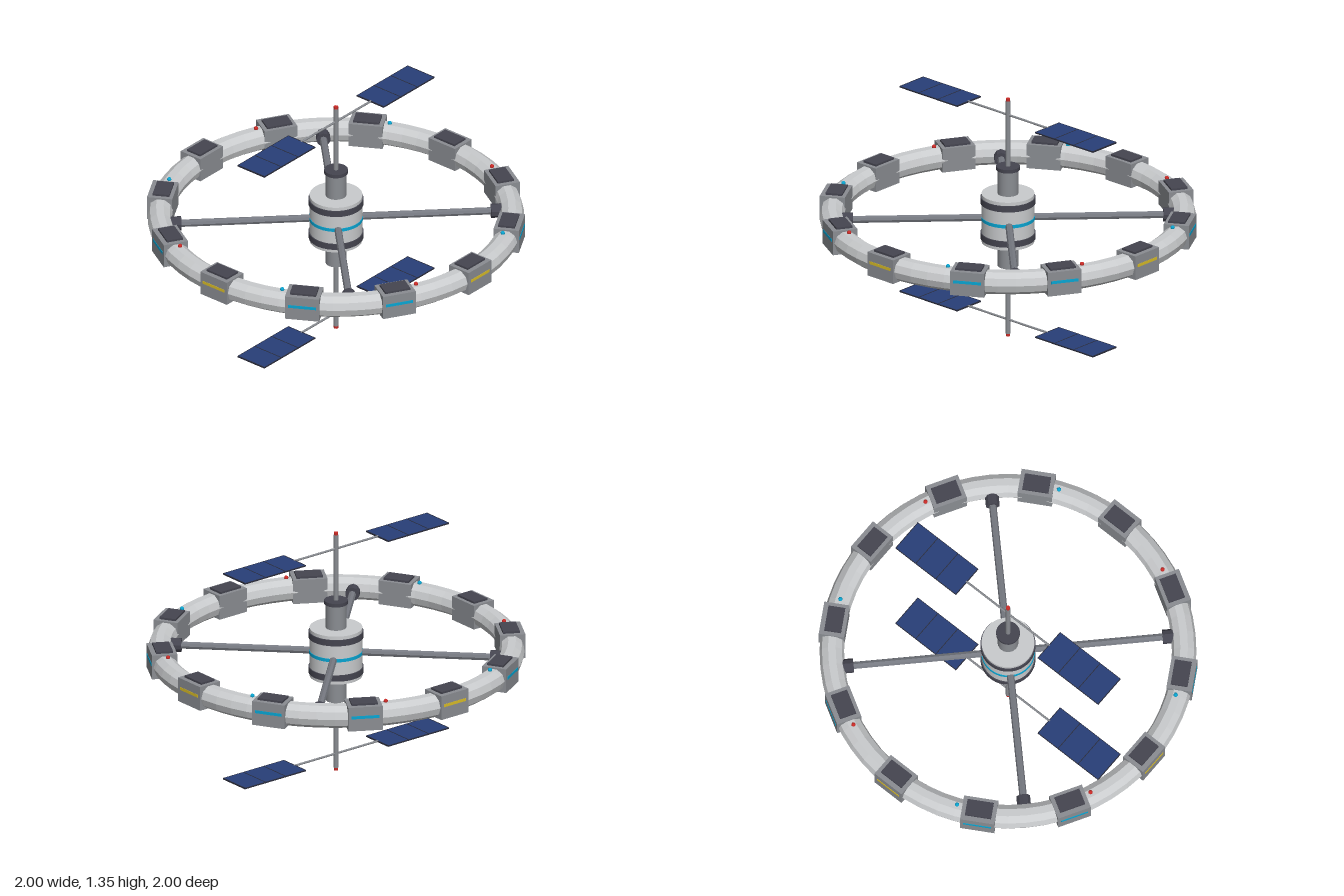
import * as THREE from 'three';

const MID = 0.674; // height of the ring plane
const RING = 0.93; // ring centre-line radius

const mat = (name, color) => {
  const m = new THREE.MeshStandardMaterial({ color });
  m.name = name;
  return m;
};

export function createModel() {
  const hull = mat('light hull', 0xc9cbcd);
  const metal = mat('mid grey metal', 0x8a8d92);
  const strut = mat('strut grey', 0x777a82);
  const dark = mat('dark grey', 0x454550);
  const solar = mat('solar blue', 0x283f78);
  const cell = mat('panel frame', 0x2a2c3c);
  const cyan = mat('cyan', 0x08a5d2);
  const yellow = mat('yellow', 0xd8bc28);
  const red = mat('red', 0xcc2a26);

  const root = new THREE.Group();
  root.name = 'spaceStation';

  const add = (parent, name, geo, material, x = 0, y = 0, z = 0) => {
    const mesh = new THREE.Mesh(geo, material);
    mesh.name = name;
    mesh.position.set(x, y, z);
    parent.add(mesh);
    return mesh;
  };
  const flat = (geo) => {
    const g = geo.toNonIndexed();
    g.computeVertexNormals();
    return g;
  };
  const box = (w, h, d) => new THREE.BoxGeometry(w, h, d);
  const cyl = (r, h, n = 32) => new THREE.CylinderGeometry(r, r, h, n);
  // Group turned about the vertical axis so its +z points outwards
  const spun = (name, angle) => {
    const g = new THREE.Group();
    g.name = name;
    g.position.y = MID;
    g.rotation.y = angle;
    root.add(g);
    return g;
  };

  // Habitat ring
  const ring = add(root, 'habitatRing', flat(new THREE.TorusGeometry(RING, 0.065, 10, 64)), hull, 0, MID, 0);
  ring.rotation.x = Math.PI / 2;

  // Twelve modules with roof plates and window strips
  for (let i = 0; i < 12; i++) {
    const g = spun('module', i * Math.PI / 6);
    add(g, 'moduleBody', box(0.184, 0.134, 0.136), metal, 0, 0.003, RING);
    add(g, 'roofPlate', box(0.14, 0.012, 0.09), dark, 0, 0.075, 0.927);
    add(g, 'windowStrip', box(0.15, 0.016, 0.004), i % 3 ? cyan : yellow, 0, 0.013, 0.998);
  }

  // Alternating beacons on top of the ring
  for (let i = 0; i < 8; i++) {
    const g = spun('beaconMount', (i + 0.5) * Math.PI / 4);
    add(g, 'beacon', new THREE.SphereGeometry(0.012, 8, 6), i % 2 ? red : cyan, 0, 0.066, 0.925);
  }

  // Four spokes with collars where they meet the ring
  for (let i = 0; i < 4; i++) {
    const g = spun('spokeMount', (i + 0.5) * Math.PI / 2);
    add(g, 'spoke', flat(cyl(0.02, 0.76, 8)), strut, 0, 0, 0.5).rotation.x = Math.PI / 2;
    add(g, 'spokeCollar', flat(cyl(0.038, 0.06, 10)), dark, 0, 0, 0.85).rotation.x = Math.PI / 2;
  }

  // Central hub
  add(root, 'hubBody', cyl(0.14, 0.272), hull, 0, MID, 0);
  add(root, 'hubStripe', cyl(0.143, 0.018), cyan, 0, MID, 0);
  for (const s of [1, -1]) {
    add(root, 'hubBand', cyl(0.146, 0.034), dark, 0, MID + s * 0.1, 0);
    add(root, 'dockingTube', cyl(0.055, 0.14, 24), metal, 0, MID + s * 0.205, 0);
  }
  add(root, 'dockingCap', cyl(0.063, 0.02, 24), dark, 0, 0.955, 0);

  // Masts, booms and solar wings, above and below
  for (const s of [1, -1]) {
    add(root, 'mast', cyl(0.013, 0.39, 10), metal, 0, MID + s * 0.465, 0);
    add(root, 'mastTip', cyl(0.012, 0.022, 10), red, 0, MID + s * 0.663, 0);
    const wing = new THREE.Group();
    wing.name = 'solarWing';
    wing.position.y = MID + s * 0.581;
    root.add(wing);
    add(wing, 'boom', cyl(0.006, 0.57, 8), metal).rotation.z = Math.PI / 2;
    for (const side of [1, -1]) {
      add(wing, 'solarPanel', box(0.412, 0.005, 0.184), solar, side * 0.486, 0, 0);
      for (let k = 0; k < 4; k++) {
        add(wing, 'panelRib', box(0.004, 0.008, 0.186), cell, side * (0.281 + k * 0.1367), 0, 0);
      }
      for (const z of [-0.092, 0.092]) {
        add(wing, 'panelEdge', box(0.414, 0.007, 0.003), cell, side * 0.486, 0, z);
      }
    }
  }
  return root;
}
